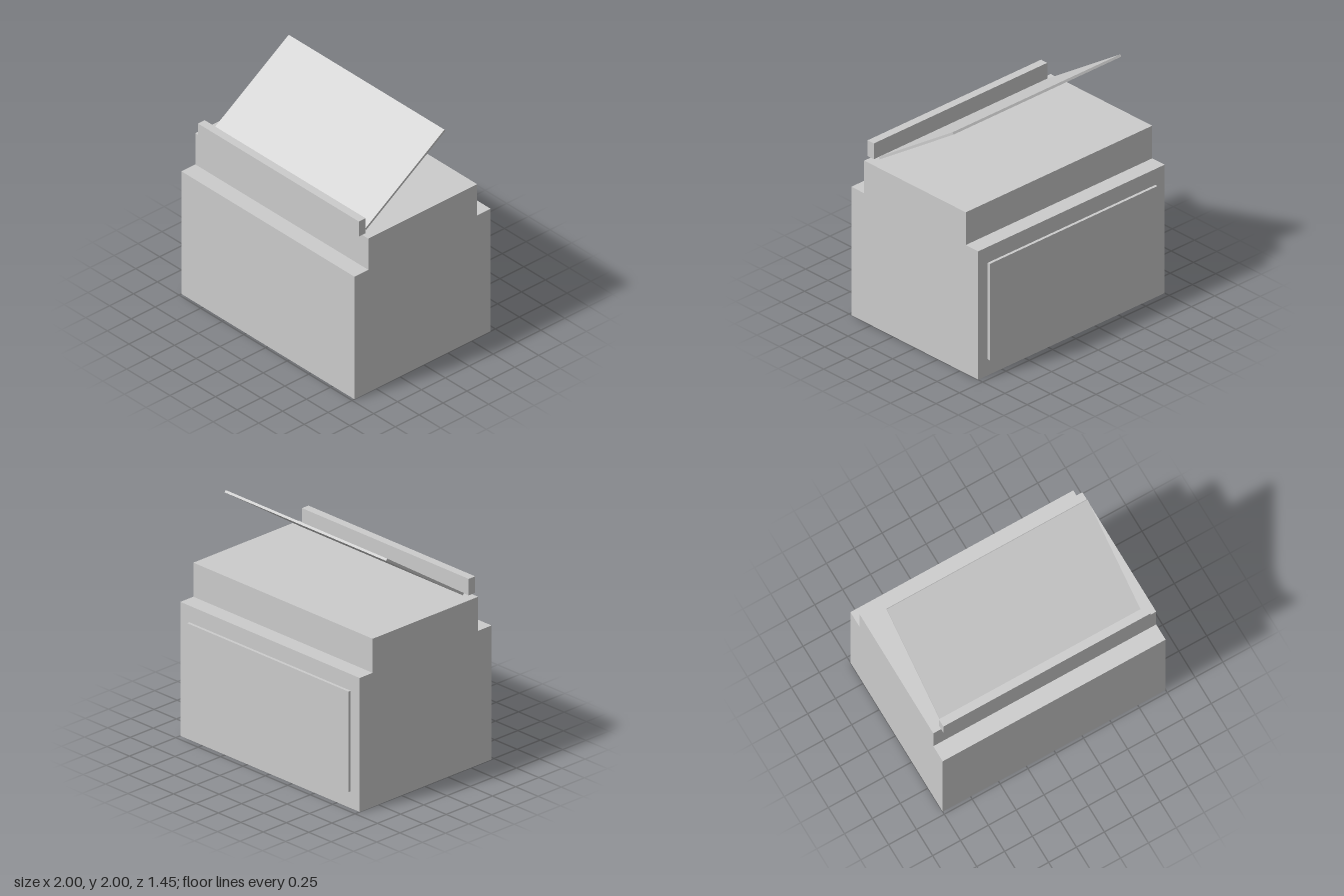
import * as THREE from 'three';

export function createModel() {
  const group = new THREE.Group();
  const material = new THREE.MeshStandardMaterial({ color: 0xcccccc, flatShading: true });

  const add = (name, geometry, x = 0, y = 0, z = 0) => {
    const mesh = new THREE.Mesh(geometry, material);
    mesh.name = name;
    mesh.position.set(x, y, z);
    group.add(mesh);
    return mesh;
  };

  // Stepped cabinet: side profile (z, y) extruded across the width
  const profile = new THREE.Shape([
    [0.725, 0], [0.725, 1.14], [0.58, 1.14], [0.58, 1.43],
    [-0.56, 1.43], [-0.56, 1.14], [-0.7, 1.14], [-0.7, 0],
  ].map(([z, y]) => new THREE.Vector2(-z, y)));
  const cabinet = new THREE.ExtrudeGeometry(profile, { depth: 2, bevelEnabled: false });
  cabinet.translate(0, 0, -1).rotateY(Math.PI / 2);
  add('cabinet', cabinet);

  // Rail along the front edge of the top
  add('frontRail', new THREE.BoxGeometry(1.86, 0.14, 0.07), 0, 1.5, 0.58);

  // Thin lid leaning up towards the back
  const lid = add('lid', new THREE.BoxGeometry(1.8, 0.02, 0.997), 0, 1.716, 0.102);
  lid.rotation.x = THREE.MathUtils.degToRad(33.7);

  // Raised panel on the back
  add('backPanel', new THREE.BoxGeometry(1.8, 0.855, 0.025), 0, 0.572, -0.7125);

  return group;
}
